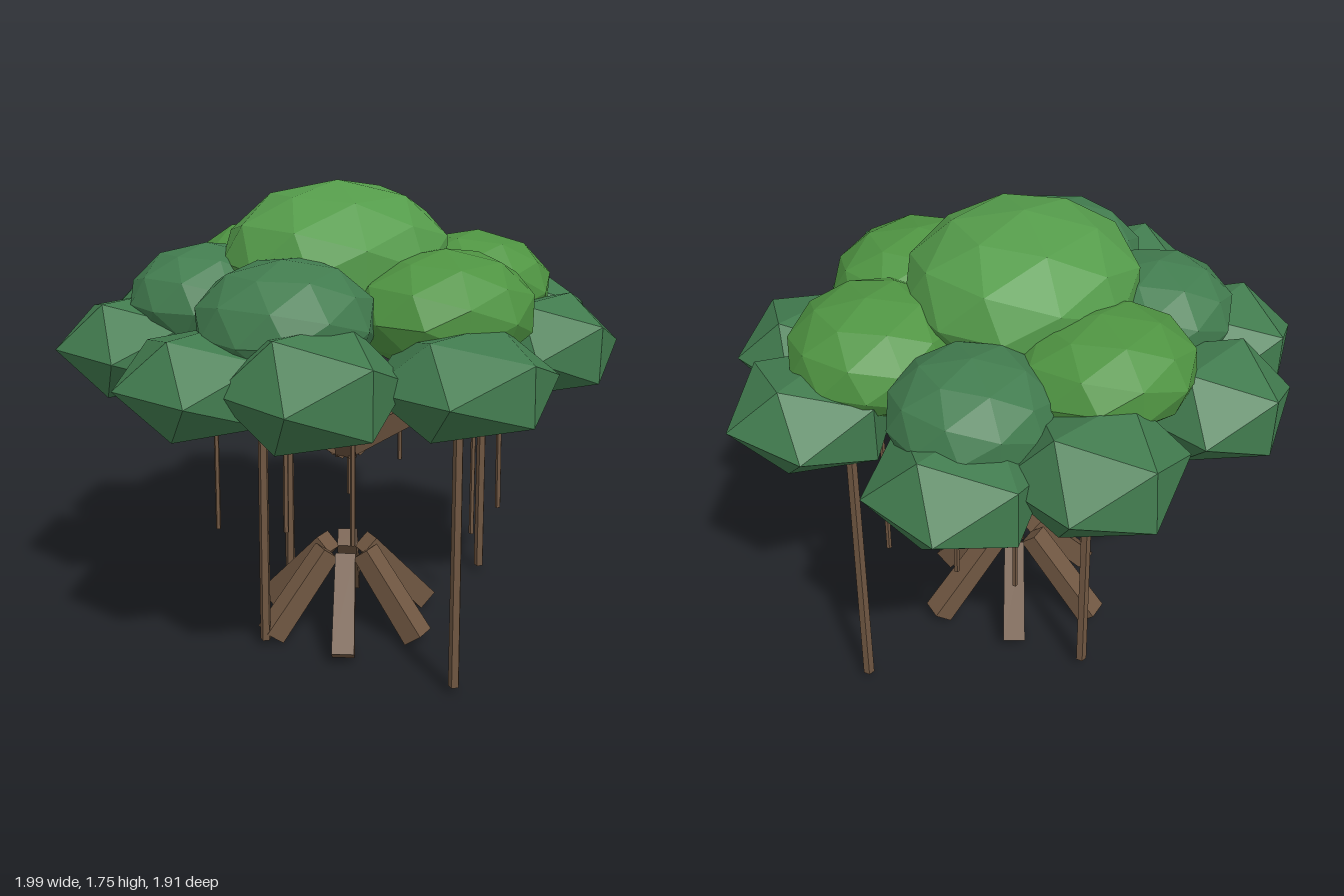
import * as THREE from 'three';

const mat = (name, color) => {
  const m = new THREE.MeshStandardMaterial({ color, flatShading: true });
  m.name = name;
  return m;
};

export function createModel() {
  const tree = new THREE.Group();
  tree.name = 'hangingRootTree';
  const bark = mat('bark', 0x6f5641);
  const darkLeaf = mat('darkLeaf', 0x427c4f);
  const lightLeaf = mat('lightLeaf', 0x4f9442);
  const topLeaf = mat('topLeaf', 0x559c4b);

  // Tapered limb between two points; twist turns its section about its own axis
  function limb(name, a, b, ra, rb, sides = 5, twist = 0) {
    const from = new THREE.Vector3(...a), to = new THREE.Vector3(...b);
    const dir = to.clone().sub(from);
    const mesh = new THREE.Mesh(new THREE.CylinderGeometry(rb, ra, dir.length(), sides).rotateY(twist), bark);
    mesh.position.copy(from).add(to).multiplyScalar(0.5);
    mesh.quaternion.setFromUnitVectors(new THREE.Vector3(0, 1, 0), dir.normalize());
    mesh.name = name;
    tree.add(mesh);
  }

  // Flattened faceted leaf clump, turned about y and tipped about x and z
  function clump(name, material, detail, [x, y, z], [rx, ry, rz], turn = 0, tipX = 0, tipZ = 0) {
    const mesh = new THREE.Mesh(new THREE.IcosahedronGeometry(1, detail), material);
    mesh.position.set(x, y, z);
    mesh.scale.set(rx, ry, rz);
    mesh.rotation.set(tipX, turn, tipZ);
    mesh.name = name;
    tree.add(mesh);
  }

  // Six splayed square prop roots and six two-part branches on the same headings
  const reach = [0.325, 0.355, 0.325, 0.32, 0.33, 0.36];
  for (let i = 0; i < 6; i++) {
    const a = THREE.MathUtils.degToRad(-43 + i * 60);
    const at = (r, y) => [r * Math.cos(a), y, r * Math.sin(a)];
    const twist = Math.PI / 4 - a;
    limb('propRoot', at(reach[i], 0.03), at(0.085, 0.332), 0.06, 0.054, 4, twist);
    limb('lowerBranch', at(0.015, 0.75), at(0.35, 0.97), 0.056, 0.048, 4, twist);
    limb('upperBranch', at(0.33, 0.96), at(0.56, 1.08), 0.036, 0.03, 4, twist);
  }

  // Aerial roots that reach the ground, leaning slightly inward
  for (const [x, z] of [[0.74, 0.075], [-0.098, 0.643], [0.13, -0.478], [-0.352, -0.085]]) {
    limb('pillarRoot', [x, 0.03, z], [x * 0.97, 1.13, z * 0.97], 0.021, 0.018);
  }

  // Thin roots that hang free: x, lower end, z
  const hangers = [
    [0.175, 0.625, 0.595], [-0.445, 0.58, 0.15], [-0.265, 0.52, 0.3], [0.43, 0.34, 0.275],
    [0.475, 0.53, -0.16], [-0.335, 0.395, -0.375], [0.285, 0.395, -0.27],
  ];
  for (const [x, y, z] of hangers) {
    limb('hangingRoot', [x, y, z], [x * 0.98, 1.12, z * 0.98], 0.0105, 0.0095);
  }

  // Outer canopy ring: x, y, z, radius, height radius, turn, tip about x
  const outer = [
    [-0.225, 1.19, -0.705, 0.29, 0.205, 0, 0], [0.345, 1.205, -0.665, 0.31, 0.215, -0.1, 0.08],
    [0.66, 1.17, -0.375, 0.305, 0.2, 0, 0], [0.715, 1.17, 0.25, 0.305, 0.195, 0.18, 0],
    [0.46, 1.17, 0.555, 0.285, 0.195, 0, 0], [-0.13, 1.17, 0.675, 0.325, 0.19, 0, -0.04],
    [-0.555, 1.185, 0.41, 0.31, 0.215, 0, 0], [-0.72, 1.17, 0.075, 0.3, 0.195, 0.14, 0],
    [-0.58, 1.17, -0.48, 0.3, 0.2, 0.08, 0],
  ];
  for (const [x, y, z, r, h, turn, tipX] of outer) {
    clump('outerClump', darkLeaf, 0, [x, y, z], [r, h, r], turn, tipX);
  }

  // Middle canopy ring
  clump('middleClump', darkLeaf, 1, [-0.37, 1.33, -0.34], [0.29, 0.2, 0.28], 0.2);
  clump('middleClump', darkLeaf, 1, [0.49, 1.31, -0.28], [0.29, 0.2, 0.28], 0.1);
  clump('middleClump', darkLeaf, 1, [-0.45, 1.34, 0.17], [0.3, 0.21, 0.31], 0.3, 0, 0.08);
  clump('middleClump', lightLeaf, 1, [0.07, 1.36, -0.46], [0.32, 0.19, 0.32], 0.1, 0.1);
  clump('middleClump', lightLeaf, 1, [0.48, 1.335, 0.2], [0.3, 0.205, 0.3], 0.2, 0, -0.12);
  clump('middleClump', lightLeaf, 1, [0.055, 1.34, 0.42], [0.335, 0.21, 0.315]);

  // Crown
  clump('crown', topLeaf, 1, [-0.01, 1.475, -0.035], [0.43, 0.272, 0.41], 0.05);
  return tree;
}
